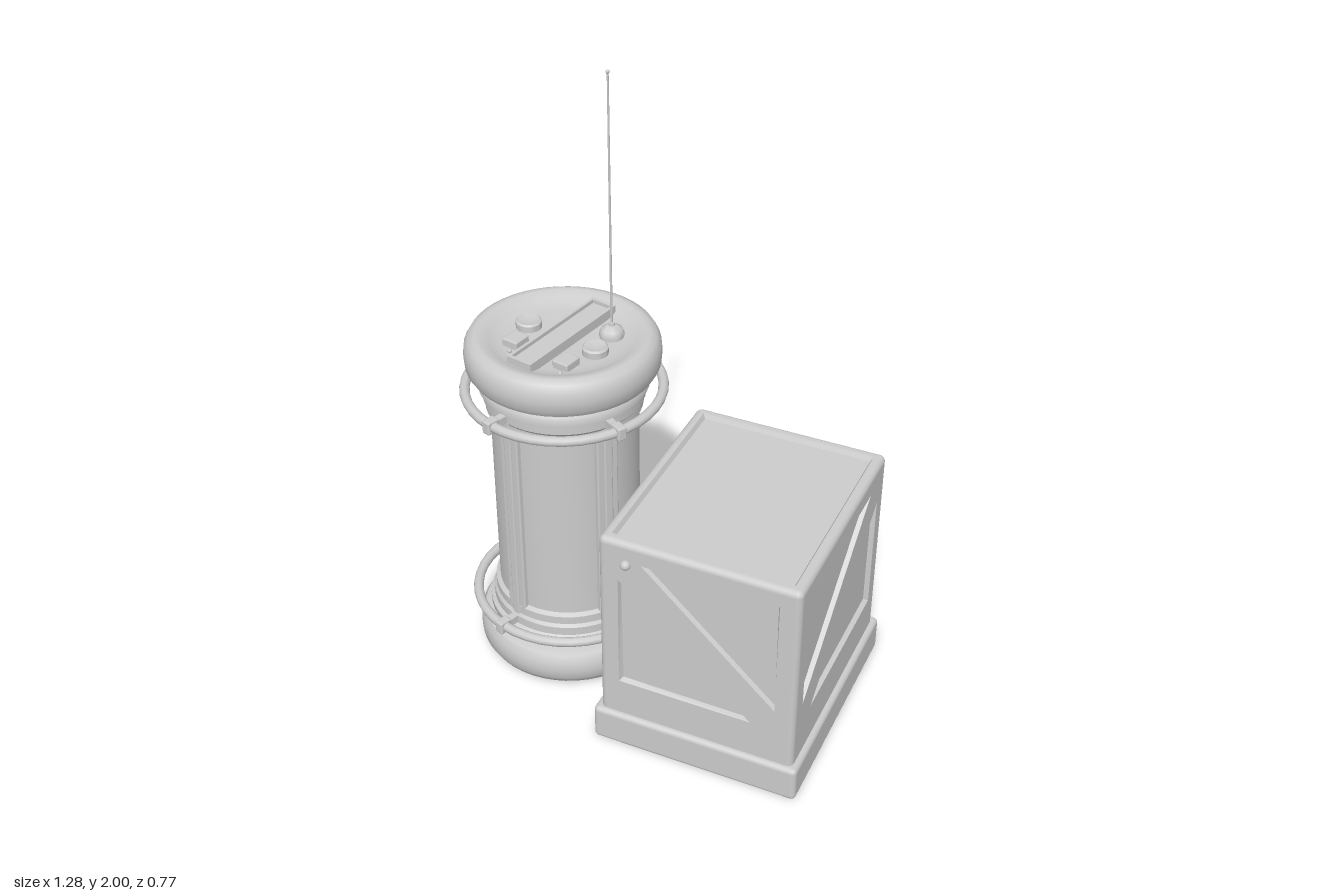
import * as THREE from 'three';
import { toCreasedNormals } from 'three/addons/utils/BufferGeometryUtils.js';
import { RoundedBoxGeometry } from 'three/addons/geometries/RoundedBoxGeometry.js';

const mat = new THREE.MeshStandardMaterial({ color: 0xcccccc, roughness: 0.7 });

function add(parent, name, geo, x = 0, y = 0, z = 0) {
  const m = new THREE.Mesh(geo, mat);
  m.name = name;
  m.position.set(x, y, z);
  parent.add(m);
  return m;
}

function group(parent, name, x = 0, y = 0, z = 0) {
  const g = new THREE.Group();
  g.name = name;
  g.position.set(x, y, z);
  parent.add(g);
  return g;
}

const lathe = (pts, seg = 40) =>
  toCreasedNormals(new THREE.LatheGeometry(pts.map(p => new THREE.Vector2(...p)), seg), 0.6);

const poly = (pts, Type = THREE.Shape) => new Type(pts.map(p => new THREE.Vector2(...p)));
const rect = (x0, y0, x1, y1, Type) => poly([[x0, y0], [x1, y0], [x1, y1], [x0, y1]], Type);

// Plate whose front face lies at z = 0, with sloped sides around its openings
const T = 0.015;
function plate(shape) {
  const g = new THREE.ExtrudeGeometry(shape, {
    depth: 0.001, bevelThickness: T, bevelSize: 0.008, bevelSegments: 1, curveSegments: 1,
  });
  return g.translate(0, 0, -T - 0.001);
}

function buildCrate(root) {
  const crate = group(root, 'crate', 0.305, 0, 0);
  const W = 0.632, D = 0.736, H = 0.79, R = 0.02, low = 0.08;

  add(crate, 'crateCore', new THREE.BoxGeometry(W - 2 * T, H - T - 0.02, D - 2 * T), 0, (H - T + 0.02) / 2, 0);
  add(crate, 'cratePlinth', new RoundedBoxGeometry(0.67, 0.122, 0.77, 3, 0.016), 0, 0.061, 0);

  // Four sides: frame with a diagonal brace between two triangular recesses
  const sides = [[W, D, 0, 1], [D, W, 1, -1], [W, D, 2, 1], [D, W, 3, -1]];
  for (const [w, depth, turn, dir] of sides) {
    const side = group(crate, 'crateSide');
    side.rotation.y = turn * Math.PI / 2;
    const h = w / 2 - 0.064, y0 = 0.25, y1 = 0.725, a = 0.075;
    const shape = rect(-w / 2 + R, low, w / 2 - R, H - R);
    shape.holes.push(
      poly([[-h * dir, y0], [(h - a) * dir, y0], [-h * dir, y1 - a]], THREE.Path),
      poly([[h * dir, y1], [(-h + a) * dir, y1], [h * dir, y0 + a]], THREE.Path),
    );
    add(side, 'bracedFrame', plate(shape), 0, 0, depth / 2);

    // Rounded top edge and corner post
    const edge = new THREE.CylinderGeometry(R, R, w - 2 * R, 16).rotateZ(Math.PI / 2);
    add(side, 'topEdge', edge, 0, H - R, depth / 2 - R);
    add(side, 'cornerEdge', new THREE.CylinderGeometry(R, R, H - R - low, 16),
      w / 2 - R, (H - R + low) / 2, depth / 2 - R);
    add(side, 'corner', new THREE.SphereGeometry(R, 16, 12), w / 2 - R, H - R, depth / 2 - R);

    // Bolt on the front and back
    if (dir > 0) add(side, 'bolt', new THREE.SphereGeometry(0.016, 14, 10), -0.225, 0.715, depth / 2 + 0.003);
  }

  // Lid frame with a shallow recess
  const lid = rect(-W / 2 + R, -D / 2 + R, W / 2 - R, D / 2 - R);
  lid.holes.push(rect(-0.284, -0.336, 0.284, 0.336, THREE.Path));
  add(crate, 'lidFrame', plate(lid).rotateX(-Math.PI / 2), 0, H, 0);
}

// Fat rounded cap with a dished face; y = 0 at its inner side
function capGeometry() {
  return lathe([
    [0, 0], [0.262, 0], [0.285, 0.009], [0.298, 0.03], [0.301, 0.062], [0.298, 0.092],
    [0.285, 0.115], [0.265, 0.125], [0.25, 0.125], [0.225, 0.113], [0.2, 0.102], [0.17, 0.097], [0, 0.097],
  ], 48);
}

function buildCanister(root) {
  const can = group(root, 'canister', -0.323, 0, -0.047);

  add(can, 'topCap', capGeometry(), 0, 1.045, 0);
  add(can, 'bottomCap', capGeometry(), 0, 0.13, 0).rotation.x = Math.PI;

  // Body with a stepped collar at each end
  const half = [[0.235, 0.1], [0.235, 0.142], [0.258, 0.146], [0.264, 0.155], [0.264, 0.175],
    [0.252, 0.183], [0.252, 0.212], [0.244, 0.222], [0.244, 0.25], [0.23, 0.258]];
  const mirrored = half.map(([r, y]) => [r, 1.178 - y]).reverse();
  add(can, 'body', lathe([...half, ...mirrored], 48));

  // Struts, and the brackets that hold the two ring rails
  const ringY = [0.2, 0.98];
  for (const y of ringY) {
    add(can, 'ringRail', new THREE.TorusGeometry(0.305, 0.016, 10, 40).rotateX(Math.PI / 2), 0, y, 0);
  }
  for (const [dx, dz] of [[0.1, -0.3], [-0.3, -0.097], [-0.1, 0.3], [0.27, 0.163]]) {
    const mount = group(can, 'strutMount');
    mount.rotation.y = Math.atan2(dx, dz);
    add(mount, 'strut', new RoundedBoxGeometry(0.075, 0.75, 0.04, 2, 0.006), 0, 0.589, 0.222);
    add(mount, 'strutRib', new RoundedBoxGeometry(0.03, 0.75, 0.03, 2, 0.006), 0, 0.589, 0.233);
    for (const y of ringY) {
      add(mount, 'bracketArm', new THREE.BoxGeometry(0.024, 0.026, 0.08), 0, y, 0.272);
      add(mount, 'bracketClip', new RoundedBoxGeometry(0.03, 0.045, 0.044, 2, 0.006), 0, y, 0.305);
    }
  }
  buildControls(can);
}

function buildControls(can) {
  const panel = group(can, 'controlPanel', 0, 1.142, 0);

  // Long framed bar across the dish
  const bar = group(panel, 'bar');
  bar.rotation.y = -0.19;
  const frame = rect(-0.044, -0.208, 0.044, 0.208);
  frame.holes.push(rect(-0.034, -0.196, 0.034, 0.196, THREE.Path));
  const frameGeo = new THREE.ExtrudeGeometry(frame, { depth: 0.032, bevelEnabled: false });
  add(bar, 'barFrame', frameGeo.rotateX(-Math.PI / 2));
  add(bar, 'barFloor', new THREE.BoxGeometry(0.072, 0.02, 0.395), 0, 0.01, 0);

  // Round knobs with a hollow top
  for (const [x, z] of [[-0.127, -0.023], [0.123, 0.027]]) {
    add(panel, 'knob', lathe([[0.04, 0], [0.04, 0.02], [0.034, 0.025], [0, 0.016]], 24), x, 0, z);
  }
  // Square buttons, each with a small lamp
  for (const [x, z] of [[-0.117, 0.08], [0.076, 0.126]]) {
    add(panel, 'button', new RoundedBoxGeometry(0.056, 0.03, 0.062, 2, 0.005), x, 0.01, z).rotation.y = -0.19;
    add(panel, 'lamp', new THREE.SphereGeometry(0.007, 10, 8), x + 0.006, 0.004, z + 0.05);
  }

  // Whip antenna on a domed foot
  const antenna = group(panel, 'antenna', 0.126, 0, -0.079);
  add(antenna, 'antennaFoot', lathe([[0.038, 0], [0.038, 0.014], [0.032, 0.027], [0.018, 0.036], [0.01, 0.039], [0.009, 0.048], [0, 0.05]], 24));
  add(antenna, 'antennaRod', new THREE.CylinderGeometry(0.003, 0.004, 0.82, 8), 0, 0.442, 0);
  add(antenna, 'antennaTip', new THREE.SphereGeometry(0.006, 10, 8), 0, 0.852, 0);
}

export function createModel() {
  const root = new THREE.Group();
  root.name = 'crateAndCanister';
  buildCrate(root);
  buildCanister(root);
  return root;
}
